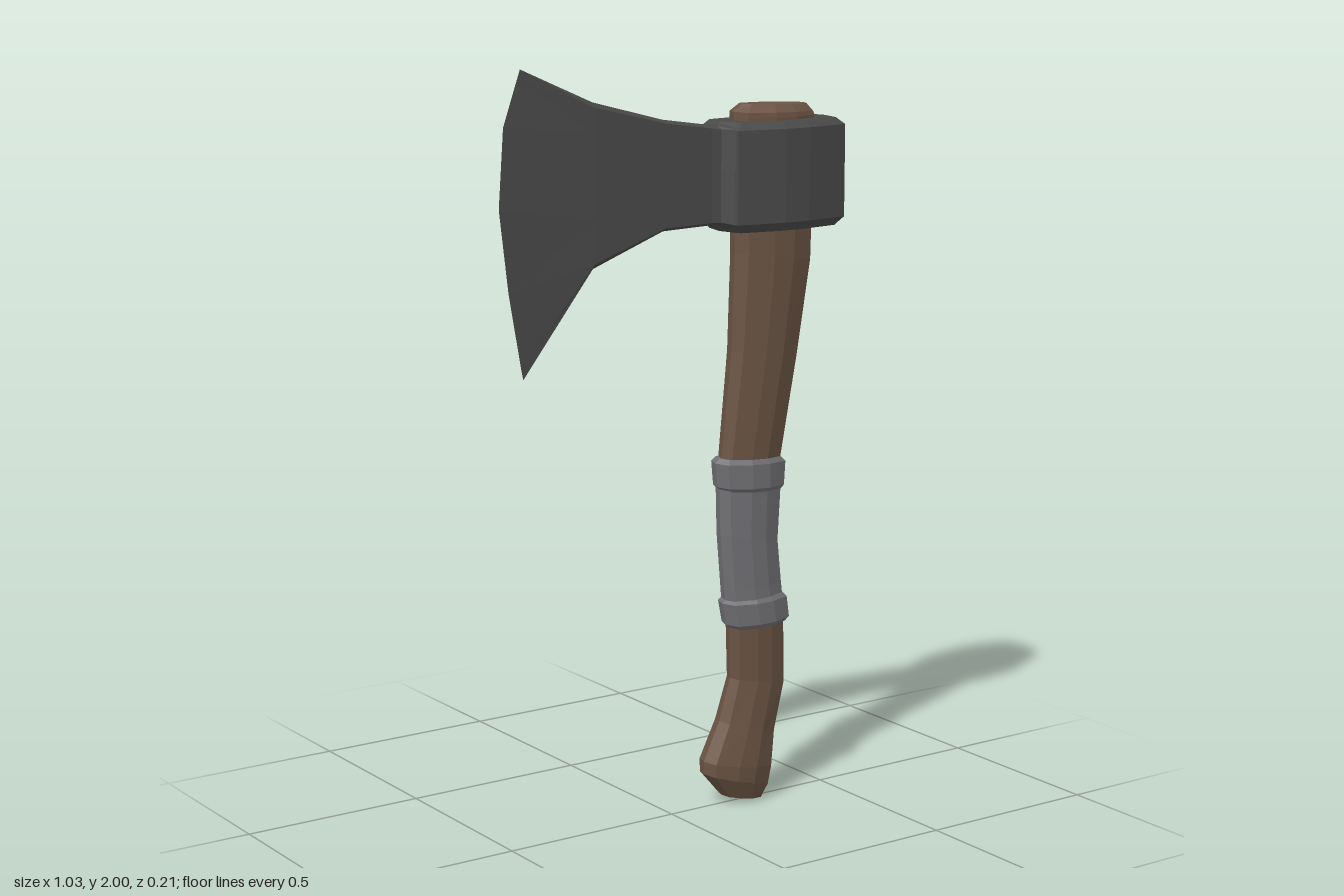
import * as THREE from 'three';

const paint = (color) => new THREE.MeshStandardMaterial({ color, flatShading: true });

// Skins a list of closed rings of [x, y, z] points and closes both ends with fans.
function loft(name, rings, material) {
  const pos = [];
  const tri = (...pts) => pts.forEach((p) => pos.push(...p));
  const centre = (ring) => [0, 1, 2].map((k) => ring.reduce((s, p) => s + p[k], 0) / ring.length);
  const n = rings[0].length, last = rings[rings.length - 1];
  const c0 = centre(rings[0]), c1 = centre(last);
  for (let j = 0; j < n; j++) {
    const k = (j + 1) % n;
    for (let i = 0; i < rings.length - 1; i++) {
      const a = rings[i], b = rings[i + 1];
      tri(a[j], a[k], b[k]);
      tri(a[j], b[k], b[j]);
    }
    tri(c0, rings[0][k], rings[0][j]);
    tri(c1, last[j], last[k]);
  }
  const geometry = new THREE.BufferGeometry();
  geometry.setAttribute('position', new THREE.Float32BufferAttribute(pos, 3));
  geometry.computeVertexNormals();
  const mesh = new THREE.Mesh(geometry, material);
  mesh.name = name;
  return mesh;
}

// Ten-sided section with a ridge at each end, shared by handle, bands and head.
const quarter = [[1, 0], [0.87, 0.65], [0.27, 1]];
const section = [
  ...quarter,
  [-0.27, 1], [-0.87, 0.65], [-1, 0], [-0.87, -0.65], [-0.27, -1],
  [0.27, -1], [0.87, -0.65],
];

// A ring from its left end (x, y), right end (x, y) and half depth.
const ring = ([lx, ly, rx, ry, hz], shape = section) => shape.map(([u, w]) => [
  (lx + rx) / 2 + (u * (rx - lx)) / 2,
  (ly + ry) / 2 + (u * (ry - ly)) / 2,
  -w * hz,
]);

export function createModel() {
  const group = new THREE.Group();
  const wood = paint(0x6b5444);
  const iron = paint(0x4a4a4a);
  const wrapGrey = paint(0x717175);

  // Curved handle, from the knob up to the end poking through the head
  group.add(loft('handle', [
    [0.165, 0.025, 0.285, 0.003, 0.04],
    [0.105, 0.095, 0.305, 0.04, 0.057],
    [0.105, 0.13, 0.315, 0.09, 0.06],
    [0.155, 0.235, 0.325, 0.19, 0.052],
    [0.19, 0.35, 0.36, 0.32, 0.045],
    [0.187, 0.49, 0.355, 0.49, 0.048],
    [0.18, 0.57, 0.343, 0.57, 0.046],
    [0.165, 0.75, 0.325, 0.72, 0.046],
    [0.158, 0.94, 0.34, 0.94, 0.048],
    [0.19, 1.24, 0.39, 1.22, 0.057],
    [0.2, 1.5, 0.43, 1.47, 0.064],
    [0.195, 1.85, 0.44, 1.85, 0.066],
    [0.195, 1.865, 0.435, 1.86, 0.064],
    [0.22, 1.885, 0.42, 1.88, 0.045],
  ].map((r) => ring(r)), wood));

  // Grip wrap following the handle
  group.add(loft('gripWrap', [
    [0.178, 0.52, 0.355, 0.52, 0.054],
    [0.17, 0.6, 0.345, 0.6, 0.052],
    [0.157, 0.75, 0.332, 0.72, 0.052],
    [0.152, 0.91, 0.344, 0.91, 0.053],
  ].map((r) => ring(r)), wrapGrey));

  // Bevelled bands at both ends of the wrap
  const band = (name, lower, upper) => {
    const inset = ([lx, ly, rx, ry, hz], dy) => [lx + 0.012, ly + dy, rx - 0.012, ry + dy, hz - 0.008];
    group.add(loft(name, [inset(lower, -0.012), lower, upper, inset(upper, 0.012)]
      .map((r) => ring(r)), wrapGrey));
  };
  band('upperBand', [0.147, 0.88, 0.35, 0.87, 0.06], [0.14, 0.945, 0.355, 0.935, 0.06]);
  band('lowerBand', [0.177, 0.5, 0.37, 0.505, 0.06], [0.165, 0.56, 0.362, 0.562, 0.06]);

  // Head block around the top of the handle
  const headShape = [
    [1, 0], [0.9, 0.78], [0.2, 1], [-0.2, 1], [-0.9, 0.78],
    [-1, 0], [-0.9, -0.78], [-0.2, -1], [0.2, -1], [0.9, -0.78],
  ];
  group.add(loft('head', [
    [0.15, 1.56, 0.49, 1.56, 0.088],
    [0.13, 1.583, 0.513, 1.583, 0.107],
    [0.13, 1.825, 0.513, 1.825, 0.107],
    [0.15, 1.843, 0.49, 1.843, 0.09],
  ].map((r) => ring(r, headShape)), iron));

  // Blade: upright sections from the neck out to the sharp edge
  const levels = [0, 0.03, 0.3, 0.56, 0.82, 0.97, 1];
  const bladeSection = (x, bottom, top, hz) => {
    const side = levels.map((t) => [
      x, bottom + (top - bottom) * t, hz * (t === 0 || t === 1 ? 0.6 : 1),
    ]);
    return [...side, ...side.map(([px, py, pz]) => [px, py, -pz]).reverse()];
  };
  const edge = [[-0.45, 1.23], [-0.455, 1.253], [-0.49, 1.45], [-0.515, 1.66],
    [-0.5, 1.86], [-0.458, 1.978], [-0.45, 2]].map(([x, y]) => [x, y, 0]);
  group.add(loft('blade', [
    bladeSection(0.17, 1.575, 1.835, 0.08),
    bladeSection(0.147, 1.575, 1.835, 0.075),
    bladeSection(0.125, 1.58, 1.835, 0.042),
    bladeSection(0.1, 1.58, 1.838, 0.036),
    bladeSection(-0.04, 1.575, 1.858, 0.03),
    bladeSection(-0.25, 1.495, 1.912, 0.023),
    [...edge, ...[...edge].reverse()],
  ], iron));

  return group;
}
